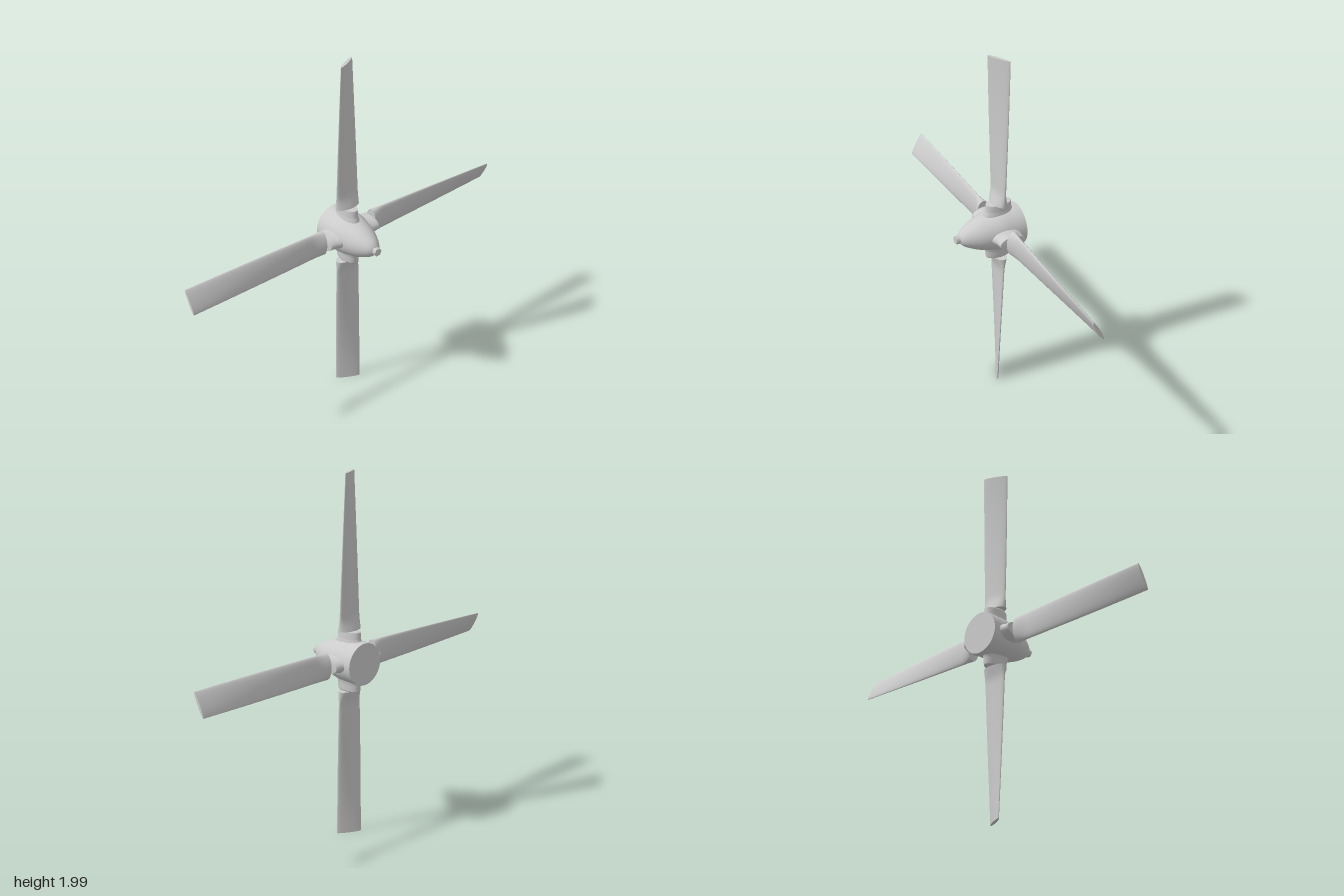
import * as THREE from 'three';

const AXIS_X = -0.07; // plane of the blades along the shaft
const HUB_Y = 0.995;

// Twisted blade along +y: thick rounded root, thin swept-pitch tip
function bladeGeometry(root, tip) {
  const geo = new THREE.CylinderGeometry(1, 1, 1, 36, 28);
  const pos = geo.attributes.position;
  const { lerp, smoothstep } = THREE.MathUtils;
  for (let i = 0; i < pos.count; i++) {
    const t = Math.pow(pos.getY(i) + 0.5, 1.8);
    const r = lerp(root, tip, t);
    const neck = 1 - smoothstep(r, root - 0.03, root + 0.085);
    const thick = lerp(0.018, 0.009, t) + 0.025 * neck;
    const chord = lerp(0.073, 0.068, t);
    const pitch = THREE.MathUtils.degToRad(28) * t;
    const x = pos.getX(i) * thick;
    const z = pos.getZ(i) * chord;
    pos.setXYZ(i,
      x * Math.cos(pitch) + z * Math.sin(pitch),
      r,
      -x * Math.sin(pitch) + z * Math.cos(pitch));
  }
  geo.computeVertexNormals();
  return geo;
}

// Oval collar with a small flare where it meets the hub
function collarGeometry() {
  const pts = [[1.2, 0.07], [1.15, 0.1], [1.04, 0.118], [1, 0.13], [0.98, 0.16], [0.94, 0.166]]
    .map(([r, y]) => new THREE.Vector2(r, y));
  pts.push(new THREE.Vector2(0, 0.166));
  const geo = new THREE.LatheGeometry(pts, 36);
  geo.scale(0.075, 1, 0.04);
  return geo;
}

export function createModel() {
  const model = new THREE.Group();
  model.name = 'propeller';
  const mat = new THREE.MeshStandardMaterial({ color: 0xcccccc, side: THREE.DoubleSide });
  const add = (parent, geo, name) => {
    const mesh = new THREE.Mesh(geo, mat);
    mesh.name = name;
    parent.add(mesh);
    return mesh;
  };

  const hub = new THREE.Group();
  hub.name = 'hub';
  hub.position.y = HUB_Y;
  model.add(hub);

  // Spinner: straight rear barrel, ogive nose
  const nose = new THREE.SplineCurve(
    [[0.114, -0.185], [0.115, -0.12], [0.114, -0.06], [0.103, 0], [0.086, 0.06],
      [0.064, 0.11], [0.042, 0.145], [0.02, 0.163], [0, 0.167]]
      .map(([r, x]) => new THREE.Vector2(r, x)));
  const profile = nose.getPoints(40);
  profile[profile.length - 1].x = 0;
  add(hub, new THREE.LatheGeometry(profile, 48), 'spinner').rotation.z = -Math.PI / 2;

  // Flat rear plate
  const plate = add(hub, new THREE.CircleGeometry(0.114, 48), 'rearPlate');
  plate.rotation.y = -Math.PI / 2;
  plate.position.x = -0.185;

  // Hexagonal nose nut
  const nut = add(hub, new THREE.CylinderGeometry(0.023, 0.023, 0.03, 6).toNonIndexed(), 'noseNut');
  nut.rotation.z = -Math.PI / 2;
  nut.position.x = 0.17;

  // Four blades with their collars around the shaft
  const blade = bladeGeometry(0.166, 1);
  const collar = collarGeometry();
  for (let i = 0; i < 4; i++) {
    const arm = new THREE.Group();
    arm.name = 'bladeArm' + (i + 1);
    arm.position.x = AXIS_X;
    arm.rotation.x = i * Math.PI / 2;
    if (i % 2 === 0) arm.scale.y = 0.995;
    add(arm, blade, 'blade');
    add(arm, collar, 'collar');
    hub.add(arm);
  }
  return model;
}
